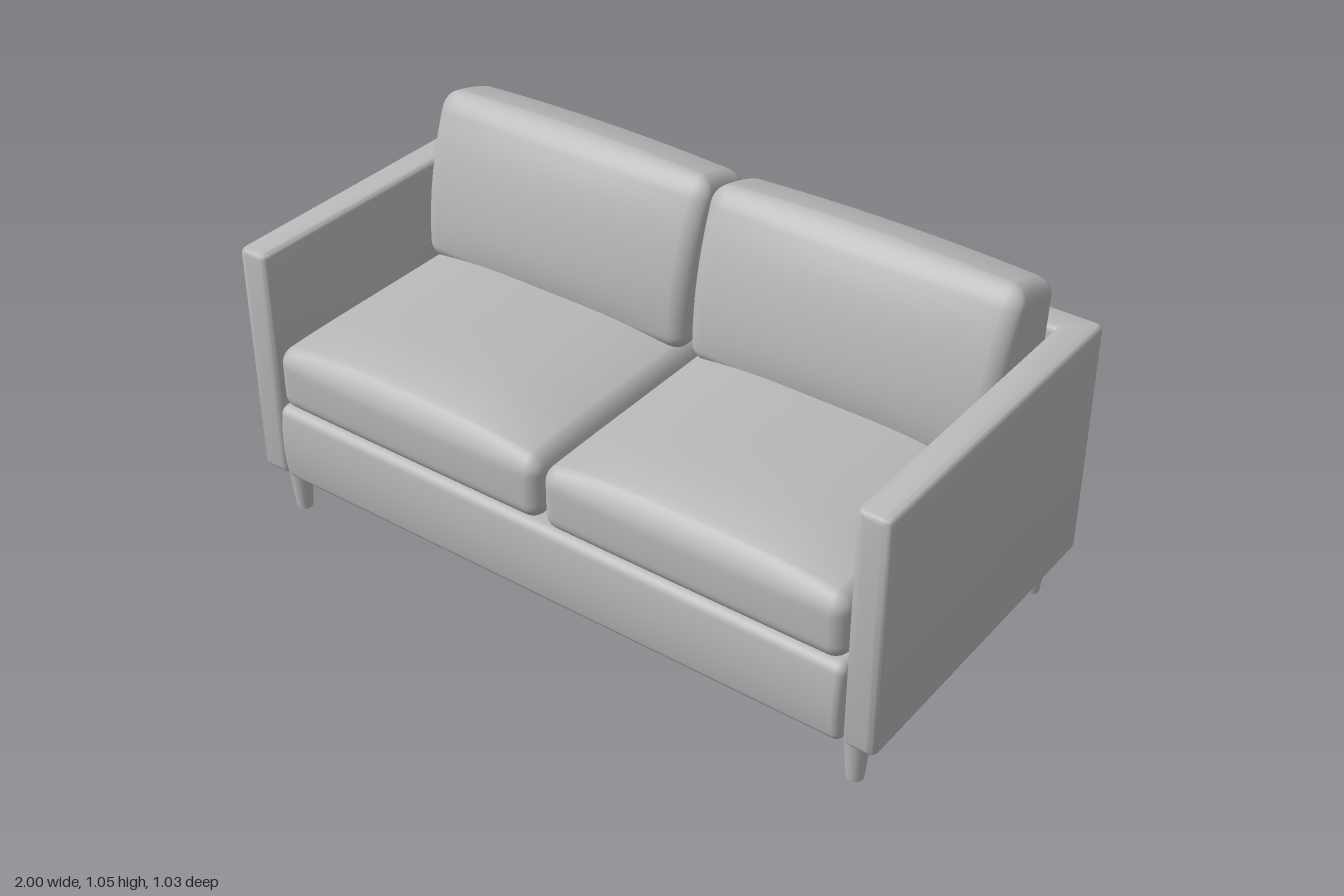
import * as THREE from 'three';
import { mergeVertices, toCreasedNormals } from 'three/addons/utils/BufferGeometryUtils.js';

const fabric = new THREE.MeshStandardMaterial({ color: 0xb8b8b8 });
fabric.name = 'grey upholstery';

// Finely divided rounded box, optionally reshaped by a rule on each point.
// The rule gets the point p and its place (a, b, c) in the box, each from -1 to 1.
function softBox(w, h, d, r, rule) {
  const geo = new THREE.BoxGeometry(2, 2, 2, 28, 20, 28);
  geo.deleteAttribute('uv');
  geo.deleteAttribute('normal');
  const pos = geo.attributes.position;
  const half = new THREE.Vector3(w / 2, h / 2, d / 2);
  const p = new THREE.Vector3(), inner = new THREE.Vector3();
  // The outer part of each side is spent on the rounded edge
  const spread = (t, s) => {
    const k = Math.abs(t), e = 0.6;
    return Math.sign(t) * (k < e ? (k / e) * (s - r) : s - r + r * Math.tan(((k - e) / (1 - e)) * Math.PI / 4));
  };
  for (let i = 0; i < pos.count; i++) {
    p.fromBufferAttribute(pos, i);
    p.set(spread(p.x, half.x), spread(p.y, half.y), spread(p.z, half.z));
    inner.set(
      THREE.MathUtils.clamp(p.x, r - half.x, half.x - r),
      THREE.MathUtils.clamp(p.y, r - half.y, half.y - r),
      THREE.MathUtils.clamp(p.z, r - half.z, half.z - r));
    p.sub(inner).setLength(r).add(inner);
    if (rule) rule(p, p.x / half.x, p.y / half.y, p.z / half.z);
    pos.setXYZ(i, p.x, p.y, p.z);
  }
  const merged = mergeVertices(geo, 1e-5);
  merged.computeVertexNormals();
  return merged;
}

const dome = (t, n) => 1 - Math.min(1, Math.abs(t)) ** n;

// Arms and back as one U-shaped wall with softened edges
function frameGeometry() {
  const s = new THREE.Shape();
  const r = 0.025, zf = -0.5, zb = 0.515; // shape y is -z
  s.moveTo(-1 + r, zf);
  s.lineTo(-0.905 - r, zf);
  s.quadraticCurveTo(-0.905, zf, -0.905, zf + r);
  s.lineTo(-0.905, 0.42);
  s.lineTo(0.905, 0.42);
  s.lineTo(0.905, zf + r);
  s.quadraticCurveTo(0.905, zf, 0.905 + r, zf);
  s.lineTo(1 - r, zf);
  s.quadraticCurveTo(1, zf, 1, zf + r);
  s.lineTo(1, zb - r);
  s.quadraticCurveTo(1, zb, 1 - r, zb);
  s.lineTo(-1 + r, zb);
  s.quadraticCurveTo(-1, zb, -1, zb - r);
  s.lineTo(-1, zf + r);
  s.quadraticCurveTo(-1, zf, -1 + r, zf);
  const b = 0.018;
  const geo = new THREE.ExtrudeGeometry(s, {
    depth: 0.7 - 2 * b, bevelThickness: b, bevelSize: b, bevelOffset: -b, bevelSegments: 4, curveSegments: 6,
  });
  geo.rotateX(-Math.PI / 2).translate(0, 0.14 + b, 0);
  return toCreasedNormals(geo, 0.6);
}

export function createModel() {
  const sofa = new THREE.Group();
  sofa.name = 'sofa';
  const add = (name, geo, x, y, z) => {
    const mesh = new THREE.Mesh(geo, fabric);
    mesh.name = name;
    mesh.position.set(x, y, z);
    sofa.add(mesh);
    return mesh;
  };

  add('armsAndBack', frameGeometry(), 0, 0, 0);

  // Base under the seat, its front panel slightly padded
  add('base', softBox(1.815, 0.238, 0.94, 0.025, (p, a, b, c) => {
    if (c > 0) p.z += 0.012 * c * dome(b, 2);
  }), 0, 0.259, 0.035);

  // Crowned seat cushion
  const seat = softBox(0.895, 0.185, 0.91, 0.045, (p, a, b, c) => {
    if (b > 0) p.y += 0.055 * b * dome(a, 3) * dome(c, 6);
    if (c > 0) p.z += 0.006 * dome(a, 4) * dome(b, 2);
  });

  // Back cushion: upright behind, front leaning back towards the top
  const back = softBox(0.9, 0.48, 0.3, 0.05, (p, a, b, c) => {
    const v = (b + 1) / 2, f = (c + 1) / 2;
    const front = -0.11 - 0.115 * v ** 2.2 + 0.03 * dome(a, 2) * dome(b, 4);
    const rear = -0.4 - 0.02 * dome(a, 3) * dome(b, 4);
    p.z = THREE.MathUtils.lerp(rear, front, f);
    p.y += v ** 3 * (0.014 * dome(a, 2) - 0.05 * (1 - f) ** 1.5);
    p.x *= 1 + 0.012 * v;
  });

  for (const [side, sx] of [['left', 1], ['right', -1]]) {
    add(side + 'SeatCushion', seat, sx * 0.452, 0.468, 0.05);
    add(side + 'BackCushion', back, sx * 0.457, 0.797, 0);
    // Tapered legs
    for (const [end, z] of [['Front', 0.44], ['Back', -0.445]]) {
      add(side + end + 'Leg', new THREE.CylinderGeometry(0.036, 0.023, 0.15, 24), sx * 0.918, 0.075, z);
    }
  }
  return sofa;
}
